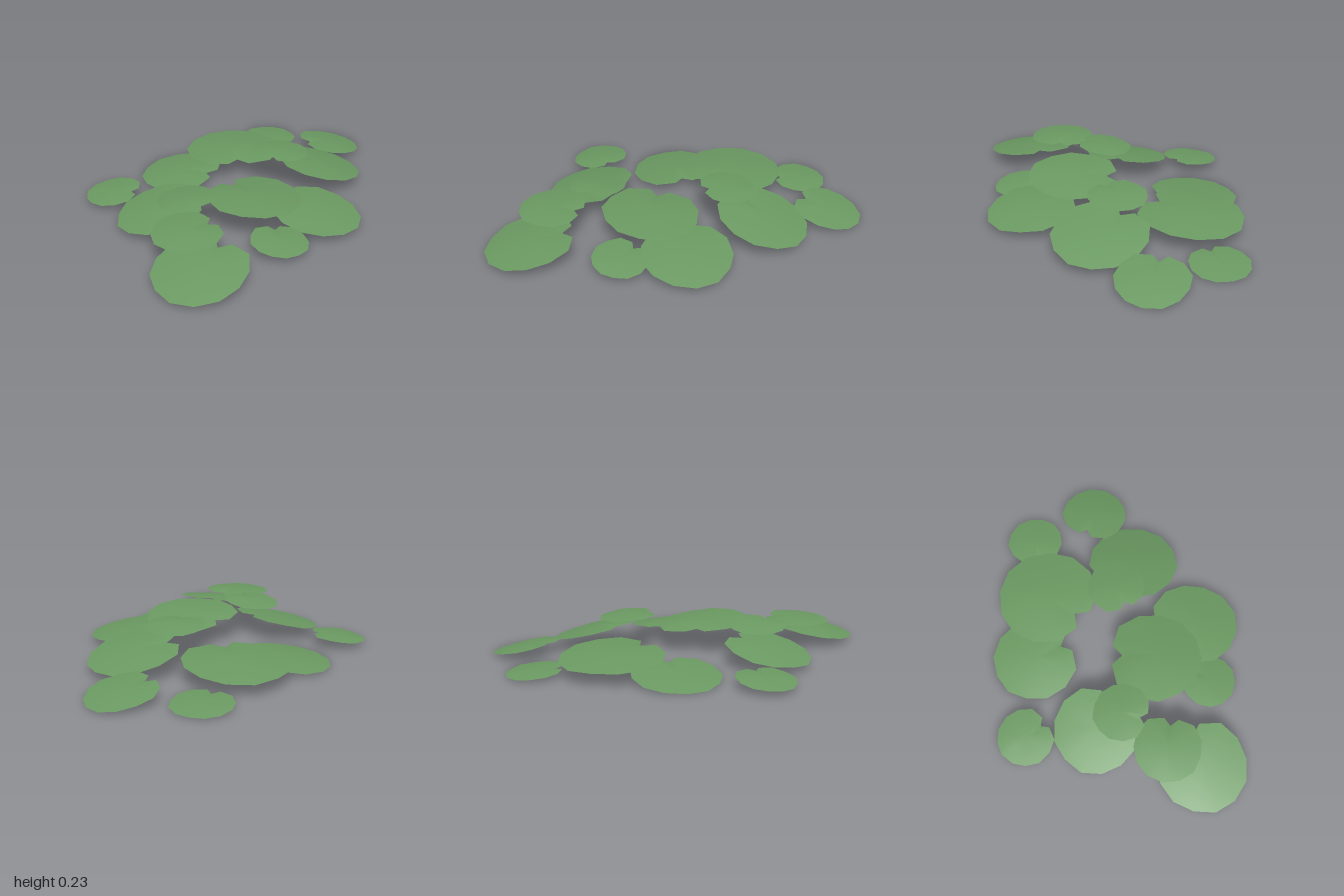
import * as THREE from 'three';

// Each pad: centre x, y, z, radius, slope along x, slope along z, notch direction in degrees
const PADS = [
  [0.31, 0.022, -0.84, 0.162, -0.05, 0.06, 130],
  [0.66, 0.052, -0.65, 0.193, -0.19, 0.08, 164],
  [0.04, 0.105, -0.53, 0.29, 0.03, 0.06, 90],
  [-0.29, 0.037, -0.38, 0.242, 0.12, 0.03, 30],
  [0.51, 0.115, -0.255, 0.255, -0.23, 0.08, 185],
  [0.28, 0.222, -0.215, 0.163, -0.06, 0.05, 120],
  [-0.70, 0.05, -0.135, 0.16, 0.13, 0, 18],
  [-0.44, 0.095, 0.17, 0.24, 0.22, -0.05, -15],
  [-0.30, 0.19, 0.24, 0.16, 0.08, 0.07, 72],
  [0.08, 0.157, 0.19, 0.268, -0.055, 0.06, 237],
  [0.41, 0.08, 0.25, 0.25, -0.13, -0.06, 215],
  [0.172, 0.057, 0.51, 0.155, -0.1, -0.06, 265],
  [-0.315, 0.175, 0.555, 0.188, 0.03, -0.03, -27],
  [-0.265, 0.08, 0.755, 0.252, 0.12, -0.15, -52],
];

const SIDES = 14;
const RINGS = [0.4, 0.75, 1];

function seeded(seed) {
  let s = seed * 7919 + 17;
  return () => (s = (s * 16807) % 2147483647) / 2147483647;
}

// Thin, gently domed disc with an uneven rim and one V-shaped notch
function padGeometry(r, slopeX, slopeZ, notchDeg, seed) {
  const rand = seeded(seed);
  rand(); rand();
  const notch = THREE.MathUtils.degToRad(notchDeg);
  const gap = 0.24;
  const rim = [];
  for (let k = 0; k < SIDES; k++) {
    const angle = k === 0 ? notch
      : notch + gap + ((k - 1) / (SIDES - 2)) * (Math.PI * 2 - 2 * gap);
    const beside = k === 1 || k === SIDES - 1;
    const reach = k === 0 ? 0.66 : (beside ? 0.9 : 0.98 + rand() * 0.05);
    rim.push({ angle, reach, lift: (rand() - 0.5) * 0.03 });
  }
  const positions = [0, 0.03 * r, 0];
  for (const t of RINGS) {
    for (const { angle, reach, lift } of rim) {
      const x = Math.cos(angle) * reach * r * t;
      const z = Math.sin(angle) * reach * r * t;
      const dome = (0.03 - 0.07 * t * t + lift * t) * r;
      positions.push(x, dome + slopeX * x + slopeZ * z, z);
    }
  }
  const index = [];
  for (let k = 0; k < SIDES; k++) {
    const n = (k + 1) % SIDES;
    index.push(0, 1 + n, 1 + k);
    for (let ring = 0; ring < RINGS.length - 1; ring++) {
      const a = 1 + ring * SIDES, b = a + SIDES;
      index.push(a + k, a + n, b + k, a + n, b + n, b + k);
    }
  }
  const geometry = new THREE.BufferGeometry();
  geometry.setAttribute('position', new THREE.Float32BufferAttribute(positions, 3));
  geometry.setIndex(index);
  geometry.computeVertexNormals();
  return geometry;
}

export function createModel() {
  const group = new THREE.Group();
  group.name = 'leafPads';
  const leafGreen = new THREE.MeshStandardMaterial({ color: 0x6b9a62, side: THREE.DoubleSide });
  leafGreen.name = 'leafGreen';

  PADS.forEach(([x, y, z, r, slopeX, slopeZ, notch], i) => {
    const pad = new THREE.Mesh(padGeometry(r, slopeX, slopeZ, notch, i + 1), leafGreen);
    pad.name = `leafPad${i + 1}`;
    pad.position.set(x, y, z);
    group.add(pad);
  });

  // Rest the lowest rim on the ground and centre the cluster
  const box = new THREE.Box3().setFromObject(group, true);
  const centre = box.getCenter(new THREE.Vector3());
  group.children.forEach((pad) => {
    pad.position.x -= centre.x;
    pad.position.y -= box.min.y;
    pad.position.z -= centre.z;
  });
  return group;
}
